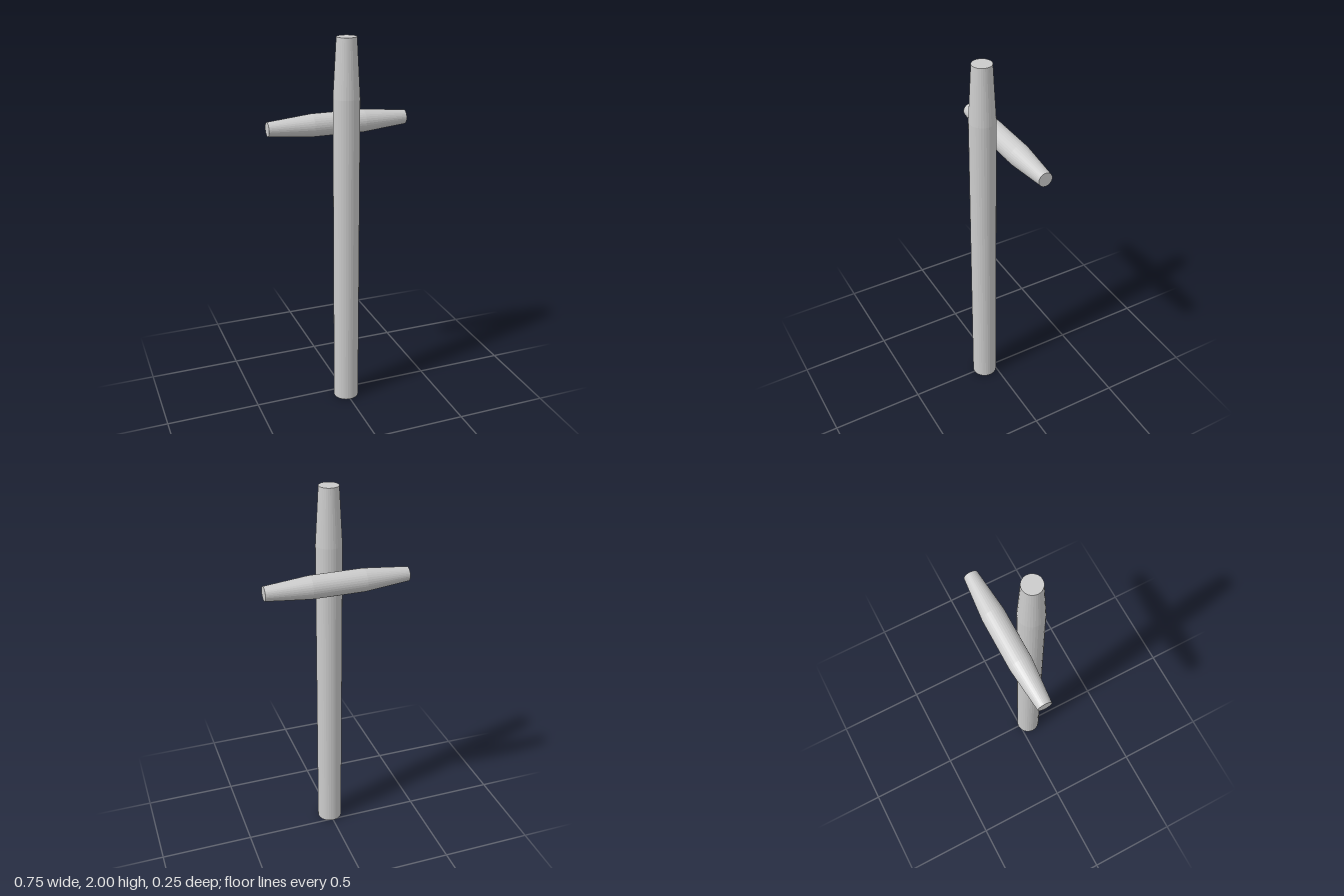
import * as THREE from 'three';

const material = new THREE.MeshStandardMaterial({ color: 0xcccccc, flatShading: true });

// Closed round timber turned from [radius, height] points, bottom to top
function timber(name, profile) {
  const first = profile[0], last = profile[profile.length - 1];
  const points = [[0, first[1]], ...profile, [0, last[1]]].map(([r, y]) => new THREE.Vector2(r, y));
  const mesh = new THREE.Mesh(new THREE.LatheGeometry(points, 32), material);
  mesh.name = name;
  return mesh;
}

export function createModel() {
  const group = new THREE.Group();
  group.name = 'postWithCrossbar';

  // Upright post, tapering near the top
  const post = timber('post', [[0.068, 0], [0.068, 1.7], [0.051, 2]]);
  post.position.z = 0.058;

  // Crossbar behind the post, tapering towards both ends
  const crossbar = timber('crossbar', [[0.037, -0.375], [0.059, -0.14], [0.059, 0.14], [0.037, 0.375]]);
  crossbar.rotation.z = Math.PI / 2;
  crossbar.position.set(0, 1.543, -0.07);

  group.add(post, crossbar);
  return group;
}
